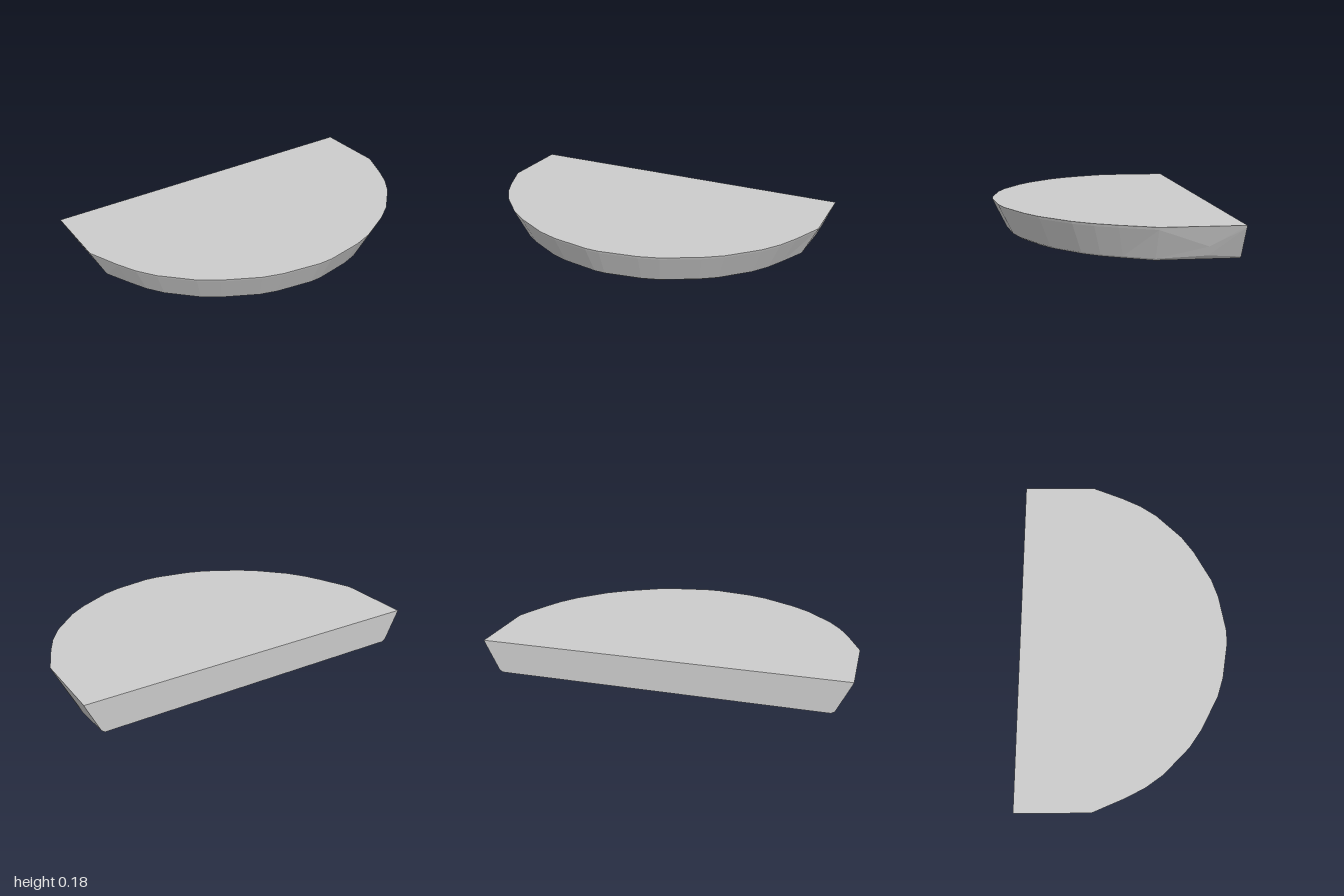
import * as THREE from 'three';

// Half outline of the top, from the back corner round to the front [x, z]
const HALF = [
  [1, -0.6], [1, -0.43], [1, -0.18], [0.925, 0], [0.87, 0.11], [0.8, 0.21],
  [0.65, 0.36], [0.55, 0.43], [0.36, 0.53], [0.25, 0.565], [0.04, 0.6],
];
const OUTLINE = [...HALF, ...HALF.slice().reverse().map(([x, z]) => [-x, z])];

// Outline moved inwards by d; the straight back wall stays in its plane
function ring(y, d) {
  return OUTLINE.map(([x, z], i) => {
    if (z <= -0.18) return [x - Math.sign(x) * d, y, z];
    const [ax, az] = OUTLINE[i - 1], [bx, bz] = OUTLINE[i + 1];
    const l = Math.hypot(bx - ax, bz - az);
    return [x - (d * (bz - az)) / l, y, z + (d * (bx - ax)) / l];
  });
}

function slabGeometry() {
  const rings = [ring(0.18, 0), ring(0.167, 0.005), ring(0.012, 0.08), ring(0, 0.098)];
  // Worn dent low on the left side
  rings[1][1] = [0.962, 0.075, -0.43];
  rings[2][1] = [0.94, 0.026, -0.43];

  const n = OUTLINE.length, index = [];
  for (let r = 0; r < rings.length - 1; r++) {
    for (let i = 0; i < n; i++) {
      const j = (i + 1) % n;
      const a = r * n + i, b = r * n + j, c = a + n, d = b + n;
      index.push(a, b, d, a, d, c);
    }
  }
  // Top and underside
  const low = (rings.length - 1) * n;
  for (let i = 1; i < n - 1; i++) {
    index.push(0, i + 1, i, low, low + i, low + i + 1);
  }
  const geometry = new THREE.BufferGeometry();
  geometry.setAttribute('position', new THREE.Float32BufferAttribute(rings.flat(2), 3));
  geometry.setIndex(index);
  const flat = geometry.toNonIndexed();
  flat.computeVertexNormals();
  return flat;
}

export function createModel() {
  const group = new THREE.Group();
  group.name = 'halfRoundSlab';
  const slab = new THREE.Mesh(
    slabGeometry(),
    new THREE.MeshStandardMaterial({ color: 0xcccccc, flatShading: true }),
  );
  slab.name = 'slab';
  group.add(slab);
  return group;
}
